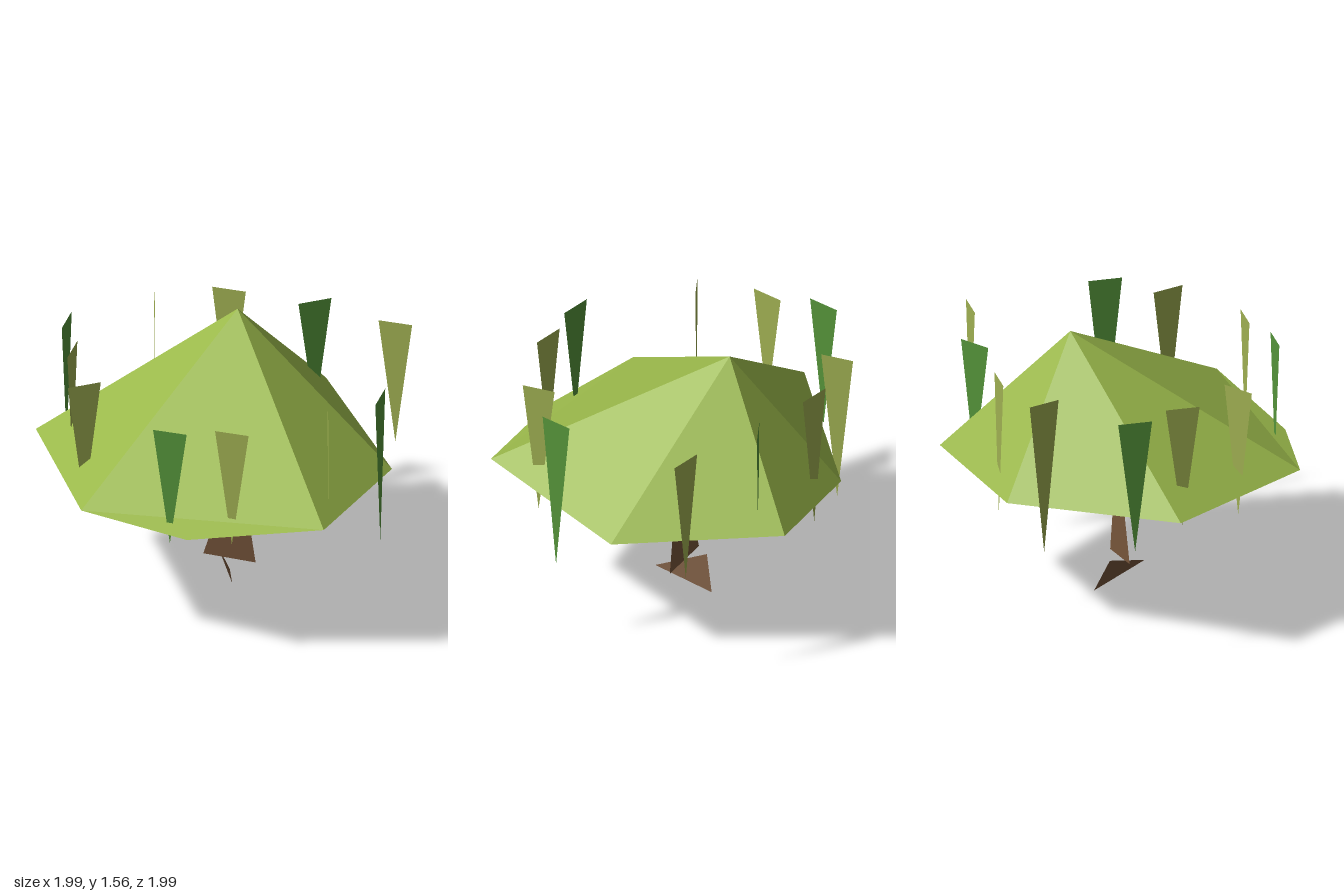
import * as THREE from 'three';

const material = (color) =>
  new THREE.MeshStandardMaterial({ color, flatShading: true, side: THREE.DoubleSide });

// Builds a flat-shaded sheet from a list of triangles (each three corners).
function sheet(name, triangles, mat) {
  const geometry = new THREE.BufferGeometry();
  geometry.setAttribute('position', new THREE.Float32BufferAttribute(triangles.flat(2), 3));
  geometry.computeVertexNormals();
  const mesh = new THREE.Mesh(geometry, mat);
  mesh.name = name;
  return mesh;
}

export function createModel() {
  const model = new THREE.Group();
  model.name = 'tree';
  const leaf = material(0x9ab84a);
  const green = material(0x55943a);
  const olive = material(0xa0b052);
  const bark = material(0x76553a);

  // Canopy: an open faceted cone with an off-centre peak
  const peak = [0.27, 1.56, -0.18];
  const rim = [
    [-0.29, 0.87, 0.99], [0.6, 0.75, 0.66], [0.99, 0.82, -0.2],
    [0.5, 0.76, -0.74], [-0.51, 0.83, -0.95], [-1, 0.84, -0.15],
  ];
  const faces = rim.map((p, i) => [peak, p, rim[(i + 1) % rim.length]]);
  // Low flap that fills out the front corner of the rim
  faces.push([rim[5], [-0.79, 0.8, 0.44], rim[0]]);
  model.add(sheet('canopy', faces, leaf));

  // Trunk: a tall upper blade and a small root blade
  const trunk = new THREE.Group();
  trunk.name = 'trunk';
  trunk.add(
    sheet('upperTrunk', [[[0.055, 0.82, 0.03], [-0.05, 0.18, -0.135], [0.11, 0.15, 0.105]]], bark),
    sheet('root', [[[-0.08, 0.1, 0.11], [0.15, 0, -0.125], [0.06, 0.19, -0.135]]], bark),
  );
  model.add(trunk);

  // Hanging vines: x, z, tip height, half width along x and z, material
  const vines = [
    [-0.765, 0.29, 0.71, 0.043, 0.085, green],
    [-0.71, -0.4, 0.66, 0.085, 0.043, olive],
    [-0.544, 0.544, 0.71, 0.043, 0.085, olive],
    [-0.47, -0.715, 0.71, 0.085, -0.043, olive],
    [-0.258, -0.957, 0.64, 0.085, -0.043, green],
    [-0.06, 0.806, 0.64, 0.066, -0.066, olive],
    [0.3, 0.856, 0.5, 0.085, -0.043, green],
    [0.588, -0.544, 0.6, 0.043, 0.085, olive],
    [0.815, -0.117, 0.69, 0.085, 0.043, green],
    [0.942, 0.363, 0.66, 0.043, 0.085, olive],
    [0.279, -0.81, 0.52, 0.066, -0.066, olive],
  ];
  const top = 1.405;
  const hanging = new THREE.Group();
  hanging.name = 'hangingVines';
  for (const [x, z, tip, dx, dz, mat] of vines) {
    const corners = [[x - dx, top, z - dz], [x, tip, z], [x + dx, top, z + dz]];
    hanging.add(sheet('vine', [corners], mat));
  }
  model.add(hanging);
  return model;
}
